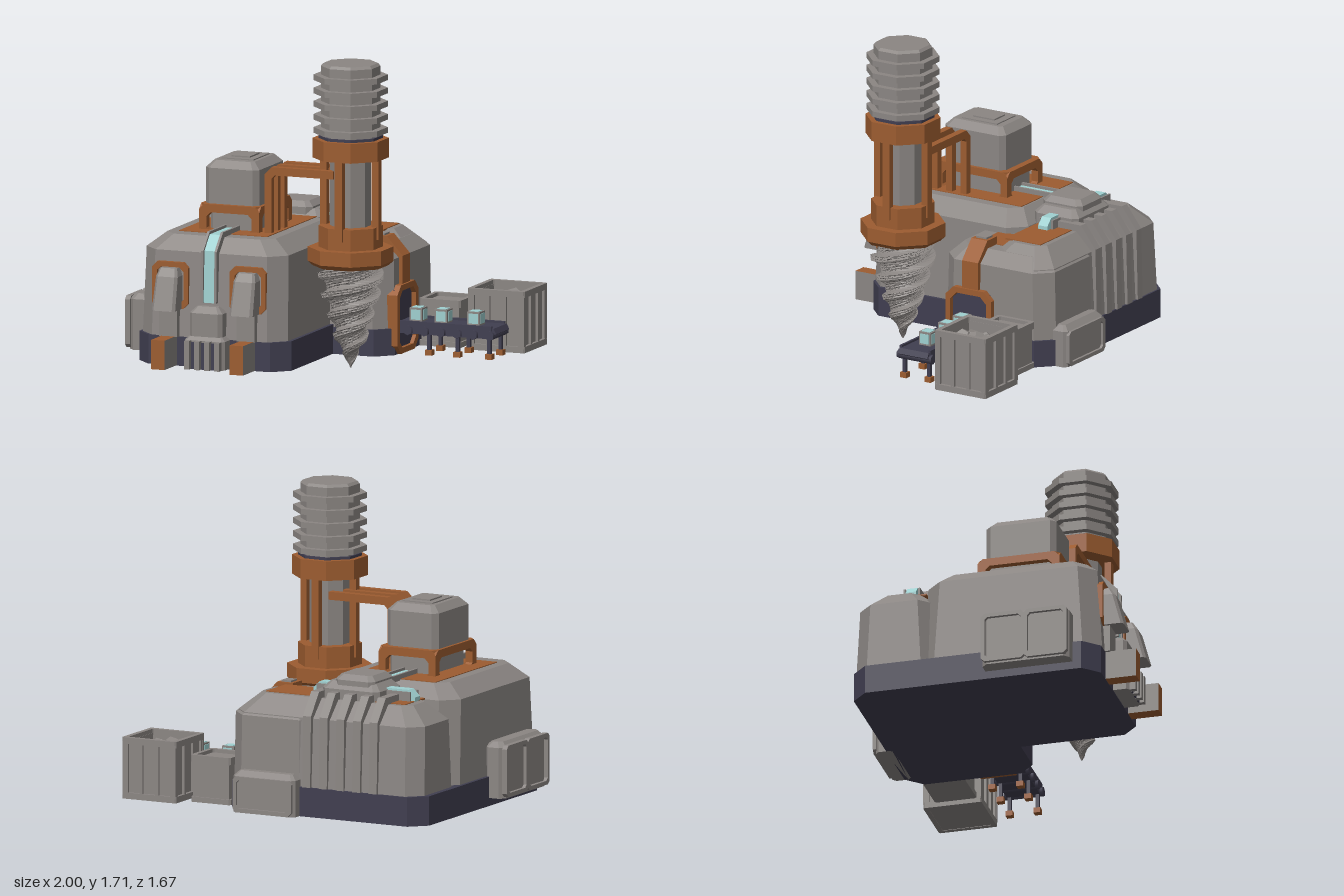
import * as THREE from 'three';

const mat = (name, color) => {
  const m = new THREE.MeshStandardMaterial({ color });
  m.name = name;
  return m;
};

export function createModel() {
  const root = new THREE.Group();
  root.name = 'miningStation';
  const grey = mat('warm grey', 0x8b8683), brown = mat('rust brown', 0x9c5c30);
  const dark = mat('dark slate', 0x403e50), cyan = mat('pale cyan', 0x9fd0d0);

  const add = (name, geo, m, x = 0, y = 0, z = 0) => {
    const mesh = new THREE.Mesh(geo, m);
    mesh.name = name;
    mesh.position.set(x, y, z);
    root.add(mesh);
    return mesh;
  };
  // box from its limits
  const box = (name, m, x0, x1, y0, y1, z0, z1) =>
    add(name, new THREE.BoxGeometry(x1 - x0, y1 - y0, z1 - z0), m, (x0 + x1) / 2, (y0 + y1) / 2, (z0 + z1) / 2);

  // skin a stack of rings, each running anticlockwise seen from above
  const loft = (rings) => {
    const p = [], n = rings[0].length, top = rings[rings.length - 1], bot = rings[0];
    for (let i = 0; i + 1 < rings.length; i++) for (let j = 0; j < n; j++) {
      const k = (j + 1) % n, a = rings[i], b = rings[i + 1];
      p.push(...a[j], ...a[k], ...b[k], ...a[j], ...b[k], ...b[j]);
    }
    for (let j = 1; j + 1 < n; j++) p.push(...top[0], ...top[j], ...top[j + 1], ...bot[0], ...bot[j + 1], ...bot[j]);
    const g = new THREE.BufferGeometry();
    g.setAttribute('position', new THREE.Float32BufferAttribute(p, 3));
    g.computeVertexNormals();
    return g;
  };
  // rectangle with cut corners at height y
  const ring = (y, x0, x1, z0, z1, c) => [[x1, y, z1 - c], [x1, y, z0 + c], [x1 - c, y, z0], [x0 + c, y, z0],
    [x0, y, z0 + c], [x0, y, z1 - c], [x0 + c, y, z1], [x1 - c, y, z1]];
  // block with cut corners, a bevelled top (b) and slightly leaning walls (lean)
  const block = (name, m, x0, x1, y0, y1, z0, z1, c, b = 0, lean = 0) => {
    const r = [ring(y0, x0, x1, z0, z1, c)];
    if (b) r.push(ring(y1 - b, x0 + lean / 3, x1 - lean / 3, z0 + lean, z1 - lean, c));
    const d = b + lean;
    r.push(ring(y1, x0 + d, x1 - d, z0 + d, z1 - d, Math.max(c - b * 0.3, 0.005)));
    return add(name, loft(r), m);
  };
  const cutRect = (P, w, h, c) => {
    const s = new P(), x = w / 2, y = h / 2;
    s.setFromPoints([[x, -y + c], [x, y - c], [x - c, y], [-x + c, y], [-x, y - c], [-x, -y + c], [-x + c, -y], [x - c, -y]]
      .map(([a, b]) => new THREE.Vector2(a, b)));
    return s;
  };
  // cut-corner frame in the xy plane, centred on its depth
  const frameGeo = (w, h, c, t, depth) => {
    const s = cutRect(THREE.Shape, w, h, c);
    s.holes.push(cutRect(THREE.Path, w - 2 * t, h - 2 * t, c * 0.8));
    return new THREE.ExtrudeGeometry(s, { depth, bevelEnabled: false }).translate(0, 0, -depth / 2);
  };
  // polygon extruded by depth and centred
  const plate = (pts, depth) => new THREE.ExtrudeGeometry(new THREE.Shape(pts.map(([a, b]) => new THREE.Vector2(a, b))),
    { depth, bevelEnabled: false }).translate(0, 0, -depth / 2);
  // octagonal prism with flats facing the axes
  const octGeo = (r0, r1, h) => {
    const k = 1 / Math.cos(Math.PI / 8);
    const g = new THREE.CylinderGeometry(r1 * k, r0 * k, h, 8).rotateY(Math.PI / 8).toNonIndexed();
    g.computeVertexNormals();
    return g;
  };

  // foundation and hull
  block('foundation', dark, -0.89, 0.02, 0.015, 0.18, -0.76, 0.66, 0.09);
  block('foundationWing', dark, -0.4, 0.355, 0.015, 0.165, -0.76, -0.025, 0.09);
  block('mainHull', grey, -0.87, 0, 0.18, 0.735, -0.37, 0.66, 0.09, 0.08, 0.03);
  block('rearHull', grey, -0.86, 0.33, 0.17, 0.665, -0.75, -0.28, 0.08, 0.1, 0.02);
  block('sideHull', grey, -0.2, 0.345, 0.16, 0.62, -0.75, -0.035, 0.09, 0.07, 0.01);
  box('mainDeck', brown, -0.7, -0.17, 0.73, 0.739, -0.25, 0.46);
  box('rearDeck', brown, -0.7, 0.18, 0.66, 0.669, -0.6, -0.37);
  box('sideDeck', brown, -0.02, 0.18, 0.615, 0.624, -0.42, -0.2);

  // rear ribs wrapping from back wall to roof, and the vent they feed
  for (let i = 0; i < 5; i++) {
    const x = -0.585 + i * 0.105;
    add('rearRib', plate([[-0.765, 0.18], [-0.755, 0.58], [-0.66, 0.705], [-0.44, 0.705], [-0.44, 0.6], [-0.7, 0.5], [-0.7, 0.18]], 0.05)
      .rotateY(-Math.PI / 2), grey, x);
  }
  block('roofVent', grey, -0.53, -0.17, 0.64, 0.76, -0.61, -0.32, 0.03, 0.04);
  block('roofVentCap', grey, -0.49, -0.24, 0.72, 0.8, -0.59, -0.33, 0.03, 0.03);

  // glowing conduits with side rails
  const conduit = (d) => [[-0.34, 0.73], [-0.34, 0.75 + d], [0.575, 0.75 + d], [0.65 + d, 0.67], [0.665 + d * 0.5, 0.38],
    [0.63, 0.38], [0.62, 0.66], [0.56, 0.73]];
  add('frontConduit', plate(conduit(0), 0.065).rotateY(-Math.PI / 2), cyan, -0.435);
  for (const s of [-1, 1]) {
    add('conduitRail', plate(conduit(0.015), 0.014).rotateY(-Math.PI / 2), grey, -0.435 + s * 0.04);
    box('crossConduitRail', grey, -0.68, -0.09, 0.65, 0.72, -0.466 + s * 0.042, -0.454 + s * 0.042);
  }
  add('crossConduit', plate([[-0.7, 0.64], [-0.7, 0.69], [-0.66, 0.73], [-0.1, 0.73], [-0.06, 0.69], [-0.06, 0.64]], 0.06), cyan, 0, 0, -0.46);

  // roof tower on its brown cradle
  const tx = -0.437, tz = 0.135;
  block('towerCore', grey, -0.57, -0.3, 0.73, 0.85, -0.06, 0.33, 0.02);
  for (const s of [-1, 1]) {
    add('cradleArch', frameGeo(0.36, 0.2, 0.03, 0.045, 0.04), brown, tx, 0.78, tz + s * 0.215);
    add('cradleSide', frameGeo(0.47, 0.2, 0.03, 0.045, 0.04).rotateY(Math.PI / 2), brown, tx + s * 0.16, 0.78, tz);
  }
  block('cradleTop', brown, -0.615, -0.26, 0.845, 0.88, -0.1, 0.37, 0.03);
  block('tower', grey, -0.6, -0.28, 0.86, 1.12, -0.06, 0.34, 0.03, 0.04);
  box('towerCapStep', grey, tx - 0.095, tx + 0.095, 1.11, 1.126, 0.02, 0.25);
  box('towerCapCentre', grey, tx - 0.055, tx + 0.055, 1.12, 1.134, 0.065, 0.205);

  // feed pipes from hull to drill
  const pipe = [[-0.23, 0.73], [-0.19, 0.73], [-0.19, 1.045], [-0.17, 1.065], [0.18, 1.065], [0.18, 1.11], [-0.19, 1.11], [-0.23, 1.07]];
  for (const z of [0.145, 0.24, 0.335]) add('feedPipe', plate(pipe, 0.04), brown, 0, 0, z);

  // drill housing
  const dx = 0.247, dz = 0.262;
  const oct = (name, m, r0, r1, y0, y1) => add(name, octGeo(r0, r1, y1 - y0), m, dx, (y0 + y1) / 2, dz);
  oct('lowerCollar', brown, 0.195, 0.22, 0.575, 0.6);
  oct('lowerCollarBand', brown, 0.22, 0.22, 0.6, 0.68);
  oct('lowerSleeve', brown, 0.165, 0.165, 0.68, 0.8);
  oct('driveShaft', grey, 0.105, 0.105, 0.7, 1.18);
  oct('upperCollar', brown, 0.195, 0.195, 1.18, 1.29);
  oct('collarSeal', dark, 0.165, 0.165, 1.285, 1.305);
  oct('motor', grey, 0.153, 0.153, 1.3, 1.695);
  oct('motorCap', grey, 0.153, 0.14, 1.695, 1.71);
  for (let i = 0; i < 5; i++) oct('coolingFin', grey, 0.19, 0.19, 1.318 + i * 0.074, 1.35 + i * 0.074);
  for (let i = 0; i < 4; i++) {
    const a = i * Math.PI / 2;
    const post = add('drillPost', new THREE.BoxGeometry(0.045, 0.46, 0.04), brown, dx + 0.155 * Math.sin(a), 0.96, dz + 0.155 * Math.cos(a));
    post.rotation.y = a;
  }

  // drill bit: two twisted flights on a tapering core
  const radii = [[0, 0.004], [0.06, 0.035], [0.15, 0.09], [0.35, 0.147], [0.46, 0.182], [0.6, 0.185]];
  const radius = (y) => {
    const i = Math.max(1, radii.findIndex((r) => r[0] >= y - 1e-6));
    const [a, b] = [radii[i - 1], radii[i]];
    return a[1] + (b[1] - a[1]) * (y - a[0]) / (b[0] - a[0]);
  };
  const lobe = [0.76, 0.76, 0.76, 0.78, 1, 1, 1, 0.85];
  const bit = [];
  for (let i = 0; i <= 70; i++) {
    const y = i / 70 * 0.6;
    bit.push(Array.from({ length: 16 }, (_, j) => {
      const t = j / 16 * Math.PI * 2 + y / 0.23 * Math.PI * 2, r = radius(y) * lobe[j % 8];
      return [r * Math.cos(t), y, -r * Math.sin(t)];
    }));
  }
  add('drillBit', loft(bit), grey, dx, 0, dz);

  // front bays: framed hatch above a foot
  for (const x of [-0.67, -0.205]) {
    add('hatchFrame', frameGeo(0.215, 0.26, 0.03, 0.028, 0.045), brown, x, 0.465, 0.638);
    add('hatch', loft([ring(0.335, x - 0.07, x + 0.07, 0.62, 0.77, 0.015), ring(0.52, x - 0.065, x + 0.065, 0.62, 0.72, 0.015),
      ring(0.565, x - 0.05, x + 0.05, 0.62, 0.69, 0.01)]), grey);
    box('hatchShaft', grey, x - 0.055, x + 0.055, 0.18, 0.34, 0.64, 0.69);
    add('foot', new THREE.BoxGeometry(0.08, 0.165, 0.18), [grey, grey, brown, brown, brown, brown], x + (x < -0.5 ? 0 : 0.005), 0.1, 0.745);
  }
  // central intake with corrugated front
  block('intake', grey, -0.55, -0.31, 0.02, 0.2, 0.64, 0.75, 0.015, 0.02);
  block('intakeHood', grey, -0.53, -0.335, 0.2, 0.365, 0.62, 0.73, 0.02, 0.035);
  for (let i = 0; i < 4; i++) box('intakeRib', grey, -0.535 + i * 0.06, -0.505 + i * 0.06, 0.02, 0.18, 0.74, 0.785);
  for (let i = 0; i < 3; i++) box('intakeSlot', dark, -0.503 + i * 0.06, -0.477 + i * 0.06, 0.02, 0.17, 0.75, 0.758);

  // left side cabinet with framed bays, and rear cabinet
  block('sideCabinet', grey, -0.98, -0.85, 0.06, 0.375, 0.02, 0.52, 0.03, 0.03);
  for (const z of [0.148, 0.392])
    add('cabinetFrame', frameGeo(0.25, 0.29, 0.02, 0.022, 0.03).rotateY(Math.PI / 2), grey, -0.985, 0.215, z);
  block('rearCabinet', grey, -0.12, 0.27, 0.015, 0.25, -0.825, -0.72, 0.02, 0.03);
  add('rearCabinetFrame', frameGeo(0.37, 0.2, 0.02, 0.022, 0.02), grey, 0.075, 0.12, -0.83);

  // small closed crate
  box('smallCrate', grey, 0.375, 0.6, 0.02, 0.265, -0.67, -0.45);
  add('smallCrateLid', frameGeo(0.25, 0.24, 0.01, 0.025, 0.04).rotateX(Math.PI / 2), grey, 0.487, 0.265, -0.56);
  add('smallCrateRim', frameGeo(0.25, 0.24, 0.01, 0.025, 0.03).rotateX(Math.PI / 2), grey, 0.487, 0.035, -0.56);

  // open ore crate with slatted walls
  const cx = 0.83, cz = -0.595;
  for (const y of [0.035, 0.345])
    add('crateRim', frameGeo(0.34, 0.335, 0.008, 0.028, 0.035).rotateX(Math.PI / 2), grey, cx, y, cz);
  box('crateFloor', grey, 0.675, 0.985, 0.02, 0.04, -0.75, -0.44);
  for (let i = 0; i < 4; i++) {
    const a = i * Math.PI / 2, side = new THREE.Group();
    side.name = 'crateWall';
    const part = (w, d, x, z) => {
      const m = new THREE.Mesh(new THREE.BoxGeometry(w, 0.3, d), grey);
      m.name = 'crateSlat';
      m.position.set(x, 0.19, z);
      side.add(m);
    };
    part(0.3, 0.012, 0, 0.146);
    for (const [x, w] of [[-0.15, 0.035], [-0.05, 0.02], [0.05, 0.02], [0.15, 0.035]]) part(w, 0.02, x, 0.156);
    side.position.set(cx, 0, cz);
    side.rotation.y = a;
    root.add(side);
  }
  for (let i = 0; i < 9; i++) {
    const rock = add('ore', new THREE.DodecahedronGeometry(0.062), grey, cx + (i % 3 - 1) * 0.085, 0.25 + (i * 5 % 3) * 0.014, cz + (Math.floor(i / 3) - 1) * 0.085);
    rock.rotation.set(i, i * 2, i * 3);
  }

  // conveyor gate and the brown duct leading down to it
  add('gateFrame', frameGeo(0.3, 0.385, 0.05, 0.032, 0.08).rotateY(Math.PI / 2), brown, 0.337, 0.21, -0.25);
  box('gateDoor', dark, 0.33, 0.35, 0.04, 0.38, -0.375, -0.125);
  add('duct', plate([[0.17, 0.6], [0.17, 0.665], [0.27, 0.665], [0.365, 0.56], [0.365, 0.38], [0.32, 0.38], [0.32, 0.5], [0.25, 0.6]], 0.105), brown, 0, 0, -0.255);
  box('ductCap', grey, 0.19, 0.25, 0.66, 0.675, -0.29, -0.22);

  // conveyor
  add('conveyorBelt', plate([[0.34, 0.135], [0.9, 0.135], [0.945, 0.165], [0.93, 0.195], [0.34, 0.195]], 0.19), dark, 0, 0, -0.25);
  for (const s of [-1, 1]) box('conveyorRail', dark, 0.34, 0.92, 0.18, 0.207, -0.257 + s * 0.095, -0.243 + s * 0.095);
  for (let i = 0; i < 6; i++)
    add('roller', new THREE.CylinderGeometry(0.028, 0.028, 0.225, 6).rotateX(Math.PI / 2).toNonIndexed(), dark, 0.42 + i * 0.098, 0.155, -0.25);
  for (const x of [0.54, 0.71, 0.9]) for (const z of [-0.33, -0.17]) {
    box('conveyorLeg', dark, x - 0.01, x + 0.01, 0.04, 0.15, z - 0.01, z + 0.01);
    box('conveyorFoot', brown, x - 0.02, x + 0.02, 0.02, 0.05, z - 0.02, z + 0.02);
  }
  // cargo cubes with glowing faces
  for (const x of [0.44, 0.59, 0.785]) {
    box('cargoCube', grey, x - 0.038, x + 0.038, 0.195, 0.271, -0.288, -0.212);
    box('cargoGlowX', cyan, x - 0.041, x + 0.041, 0.205, 0.261, -0.278, -0.222);
    box('cargoGlowY', cyan, x - 0.028, x + 0.028, 0.2, 0.274, -0.278, -0.222);
    box('cargoGlowZ', cyan, x - 0.028, x + 0.028, 0.205, 0.261, -0.291, -0.209);
  }
  return root;
}
